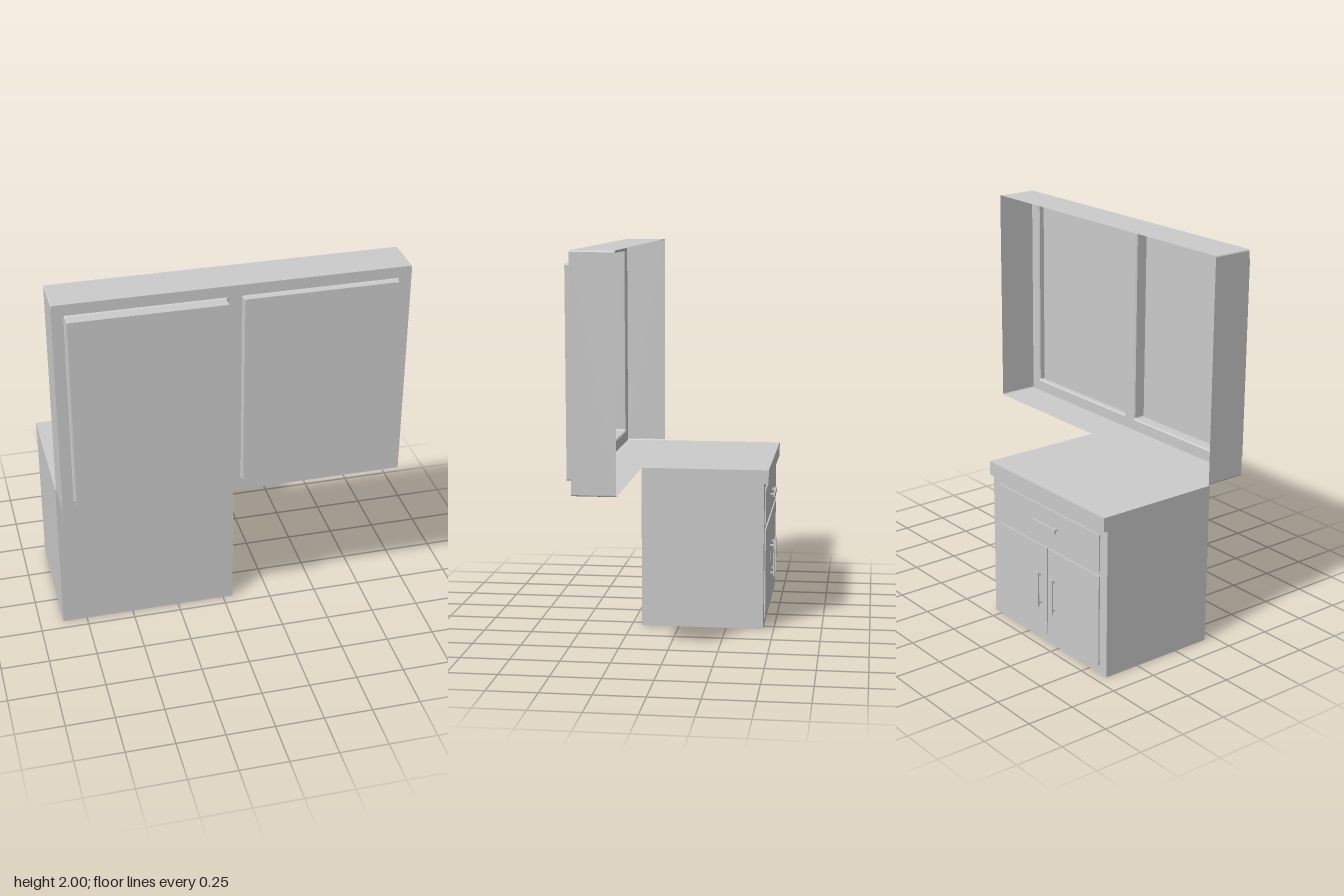
import * as THREE from 'three';

const solid = new THREE.MeshStandardMaterial({ color: 0xcccccc, flatShading: true });
const sheet = new THREE.MeshStandardMaterial({ color: 0xcccccc, flatShading: true, side: THREE.DoubleSide });

function add(parent, name, geometry, material = solid) {
  const mesh = new THREE.Mesh(geometry, material);
  mesh.name = name;
  parent.add(mesh);
  return mesh;
}

// Box given by its minimum and maximum corners
function box(parent, name, [x0, y0, z0], [x1, y1, z1]) {
  const g = new THREE.BoxGeometry(x1 - x0, y1 - y0, z1 - z0);
  return add(parent, name, g.translate((x0 + x1) / 2, (y0 + y1) / 2, (z0 + z1) / 2));
}

// Counter-clockwise outline of a rectangle with slightly rounded corners, grown by e
function outline({ x0, x1, y0, y1 }, e = 0, r = 0.008) {
  const points = [];
  const corners = [[x1, y0, 1, -1], [x1, y1, 1, 1], [x0, y1, -1, 1], [x0, y0, -1, -1]];
  corners.forEach(([x, y, sx, sy], i) => {
    for (let k = 0; k <= 3; k++) {
      const a = (i - 1 + k / 3) * Math.PI / 2;
      points.push(new THREE.Vector2(x + sx * (e - r) + r * Math.cos(a), y + sy * (e - r) + r * Math.sin(a)));
    }
  });
  return points;
}

// Thin wall through a list of [outline, z] rings
function wall(rings) {
  const n = rings[0][0].length, position = [], index = [];
  for (const [pts, z] of rings) for (const p of pts) position.push(p.x, p.y, z);
  for (let r = 0; r < rings.length - 1; r++) {
    for (let i = 0; i < n; i++) {
      const a = r * n + i, b = r * n + (i + 1) % n;
      index.push(a, b, b + n, a, b + n, a + n);
    }
  }
  const g = new THREE.BufferGeometry();
  g.setAttribute('position', new THREE.Float32BufferAttribute(position, 3));
  g.setIndex(index);
  g.computeVertexNormals();
  return g;
}

// Flat sheet facing +z
function plate(points, z, holes = []) {
  const shape = new THREE.Shape(points);
  for (const h of holes) shape.holes.push(new THREE.Path(h));
  return new THREE.ShapeGeometry(shape).translate(0, 0, z);
}

// Bar handle on two posts, standing off a rear-facing front
function handle(parent, name, x, y, length, vertical) {
  const g = new THREE.Group();
  g.name = name;
  box(g, 'bar', [-length / 2, -0.012, -0.478], [length / 2, 0.012, -0.47]);
  for (const s of [-1, 1]) {
    const px = s * (length / 2 - 0.018);
    box(g, 'post', [px - 0.005, -0.005, -0.471], [px + 0.005, 0.005, -0.449]);
  }
  if (vertical) g.rotation.z = Math.PI / 2;
  g.position.set(x, y, 0);
  parent.add(g);
}

export function createModel() {
  const model = new THREE.Group();

  // Shallow window frame, open at the rear
  const frame = new THREE.Group();
  frame.name = 'windowFrame';
  model.add(frame);
  const rim = outline({ x0: -0.873, x1: 0.873, y0: 0.845, y1: 2 });
  const panes = [
    { name: 'rightPane', x0: -0.81, x1: -0.04, y0: 0.908, y1: 1.937, z: 0.476 },
    { name: 'leftPane', x0: 0.04, x1: 0.81, y0: 0.908, y1: 1.937, z: 0.444 },
  ];
  add(frame, 'frameSides', wall([[rim, 0.195], [rim, 0.411]]), sheet);
  add(frame, 'frameFace', plate(rim, 0.411, panes.map((p) => outline(p, 0.006))), sheet);

  // Raised panes, hollow from behind, with a small flare at the foot
  for (const p of panes) {
    const edge = outline(p);
    add(frame, p.name + 'Sides', wall([[outline(p, 0.006), 0.411], [edge, 0.417], [edge, p.z]]), sheet);
    add(frame, p.name, plate(edge, p.z), sheet);
  }

  // Cabinet body and overhanging worktop
  const cabinet = new THREE.Group();
  cabinet.name = 'cabinet';
  model.add(cabinet);
  const left = 0.053, right = -0.877, mid = (left + right) / 2;
  box(cabinet, 'body', [right, 0, -0.445], [left, 0.772, 0.196]);
  box(cabinet, 'worktop', [right, 0.772, -0.468], [left, 0.845, 0.196]);

  // Drawer, pair of doors and their handles
  box(cabinet, 'drawerFront', [mid - 0.41, 0.545, -0.452], [mid + 0.41, 0.735, -0.444]);
  handle(cabinet, 'drawerHandle', mid, 0.647, 0.19, false);
  for (const s of [-1, 1]) {
    const a = mid + s * 0.004, b = mid + s * 0.41;
    box(cabinet, 'door', [Math.min(a, b), 0.045, -0.452], [Math.max(a, b), 0.52, -0.444]);
    handle(cabinet, 'doorHandle', mid + s * 0.058, 0.283, 0.19, true);
  }
  return model;
}
